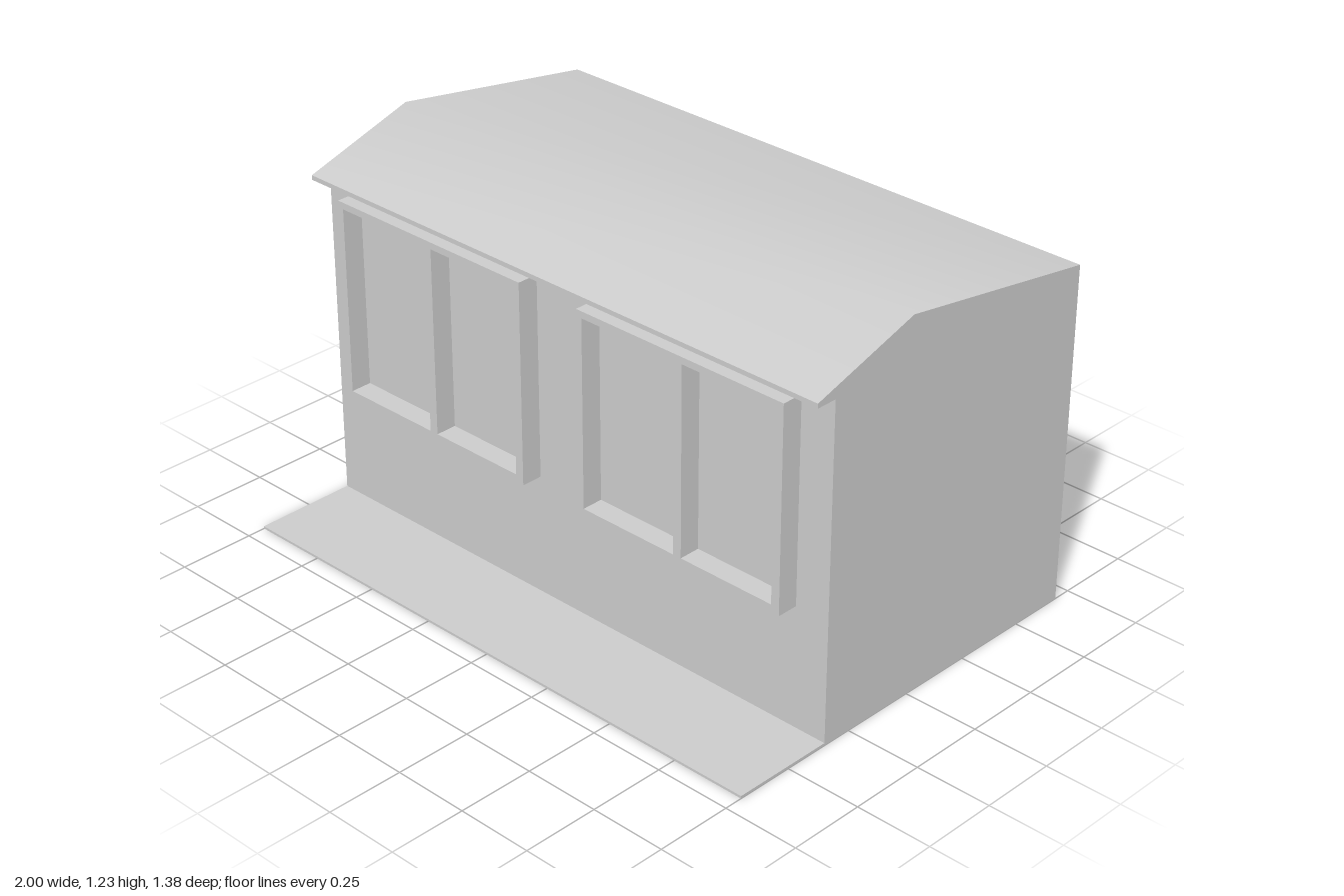
import * as THREE from 'three';
import { toCreasedNormals } from 'three/addons/utils/BufferGeometryUtils.js';

const material = new THREE.MeshStandardMaterial({ color: 0xcccccc });
const thinMaterial = new THREE.MeshStandardMaterial({ color: 0xcccccc, side: THREE.DoubleSide });

const FRONT = 0.35, BACK = -0.69, EAVE = 1.095;

function addMesh(parent, name, geometry, mat = material) {
  const mesh = new THREE.Mesh(geometry, mat);
  mesh.name = name;
  parent.add(mesh);
  return mesh;
}

function rectangle(PathType, x0, y0, x1, y1) {
  return new PathType([[x0, y0], [x1, y0], [x1, y1], [x0, y1]].map(([x, y]) => new THREE.Vector2(x, y)));
}

// Thin walls, open underneath
function createWalls() {
  const walls = new THREE.Group();
  walls.name = 'walls';
  const depth = FRONT - BACK, middle = (FRONT + BACK) / 2;
  const sides = [
    ['frontWall', 2, 0, FRONT, 0],
    ['backWall', 2, 0, BACK, Math.PI],
    ['leftWall', depth, 1, middle, Math.PI / 2],
    ['rightWall', depth, -1, middle, -Math.PI / 2],
  ];
  for (const [name, width, x, z, turn] of sides) {
    const wall = addMesh(walls, name, new THREE.PlaneGeometry(width, EAVE), thinMaterial);
    wall.position.set(x, EAVE / 2, z);
    wall.rotation.y = turn;
  }
  return walls;
}

// Uneven gable roof, softly shaded over the ridge, with a front overhang
function createRoofGeometry() {
  const profile = [[0.42, EAVE], [0.42, 1.11], [0.04, 1.227], [BACK, 1.11], [BACK, EAVE]];
  const shape = new THREE.Shape(profile.map(([z, y]) => new THREE.Vector2(z, y)));
  const geometry = new THREE.ExtrudeGeometry(shape, { depth: 2, bevelEnabled: false });
  geometry.rotateY(-Math.PI / 2).translate(1, 0, 0);
  return toCreasedNormals(geometry, 0.6);
}

// Two-light window frame running through the front wall
function createFrameGeometry() {
  const shape = rectangle(THREE.Shape, -0.385, 0.405, 0.385, 1.065);
  shape.holes.push(
    rectangle(THREE.Path, -0.364, 0.43, -0.012, 1.043),
    rectangle(THREE.Path, 0.018, 0.43, 0.356, 1.043),
  );
  return new THREE.ExtrudeGeometry(shape, { depth: 0.1, bevelEnabled: false }).translate(0, 0, 0.32);
}

export function createModel() {
  const model = new THREE.Group();
  model.name = 'building';

  model.add(createWalls());
  addMesh(model, 'roof', createRoofGeometry());

  const frame = createFrameGeometry();
  addMesh(model, 'leftWindowFrame', frame).position.x = 0.498;
  addMesh(model, 'rightWindowFrame', frame).position.x = -0.5;

  // Pavement strip along the front
  const pavement = addMesh(model, 'pavement', new THREE.BoxGeometry(2, 0.008, 0.34));
  pavement.position.set(0, 0.004, 0.52);

  return model;
}
